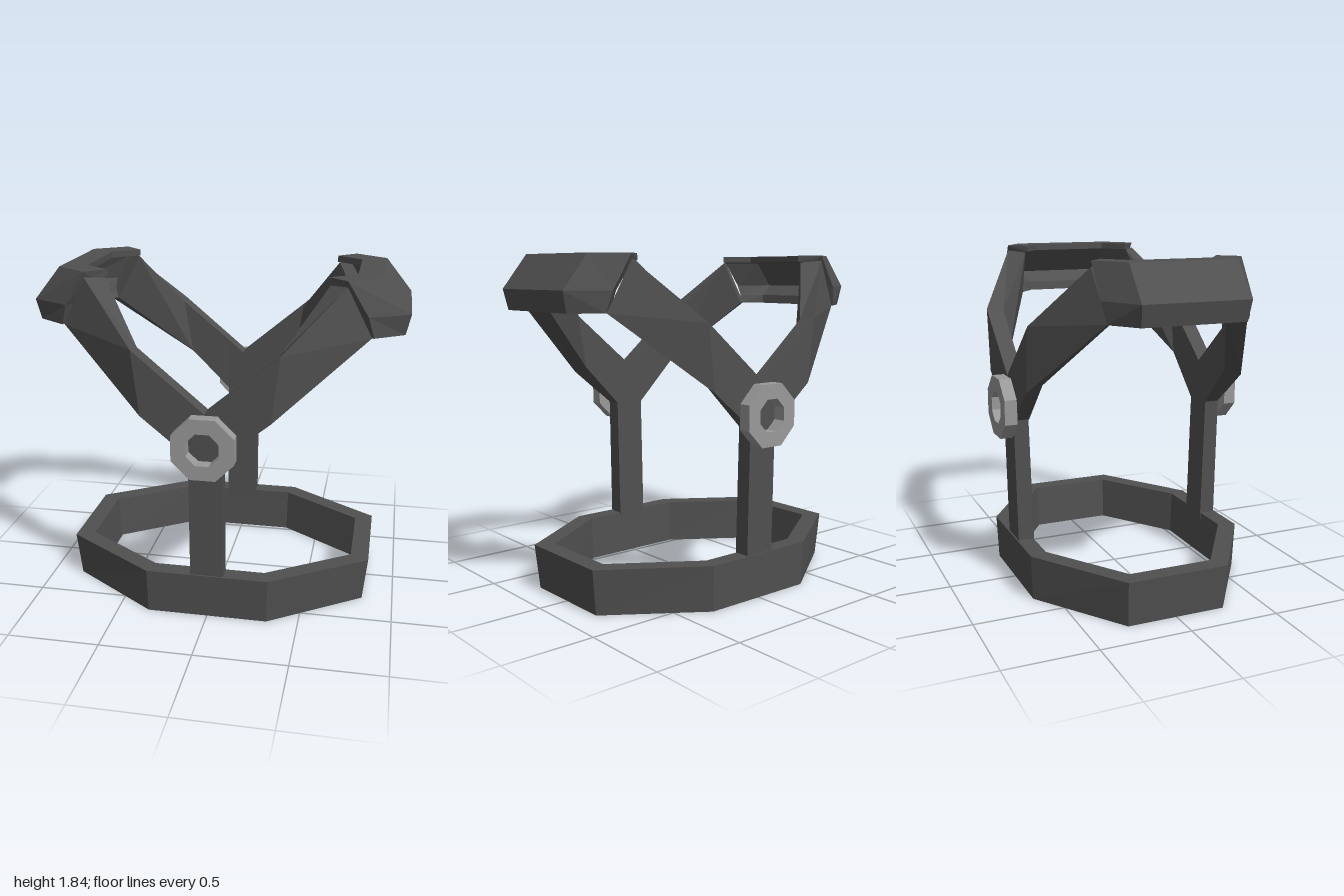
import * as THREE from 'three';

const dark = new THREE.MeshStandardMaterial({ color: 0x505050, flatShading: true });
const light = new THREE.MeshStandardMaterial({ color: 0x999999, flatShading: true });

// Skin a row of cross-sections (equal point counts); closed rows join end to start, open rows get end caps.
function loft(sections, closed, capFaces = []) {
  const n = sections[0].length, tris = [];
  const quad = (a, b, c, d) => tris.push([a, b, c], [a, c, d]);
  const steps = closed ? sections.length : sections.length - 1;
  for (let i = 0; i < steps; i++) {
    const s = sections[i], t = sections[(i + 1) % sections.length];
    for (let j = 0; j < n; j++) {
      const k = (j + 1) % n;
      quad(s[j], s[k], t[k], t[j]);
    }
  }
  if (!closed) {
    const first = sections[0], last = sections[sections.length - 1];
    for (const [a, b, c, d] of capFaces) {
      quad(first[d], first[c], first[b], first[a]);
      quad(last[a], last[b], last[c], last[d]);
    }
  }
  // Turn the faces outward, whichever way the sections run
  let volume = 0;
  for (const [a, b, c] of tris) {
    volume += new THREE.Vector3(...a).dot(new THREE.Vector3(...b).cross(new THREE.Vector3(...c)));
  }
  const flat = tris.flatMap(([a, b, c]) => (volume < 0 ? [c, b, a] : [a, b, c])).flat();
  const g = new THREE.BufferGeometry();
  g.setAttribute('position', new THREE.Float32BufferAttribute(flat, 3));
  g.computeVertexNormals();
  return g;
}

const mirror = (sections, sx, sz) => sections.map(s => s.map(([x, y, z]) => [x * sx, y, z * sz]));

function add(group, name, geometry, material = dark) {
  const mesh = new THREE.Mesh(geometry, material);
  mesh.name = name;
  group.add(mesh);
  return mesh;
}

// Base ring section at one corner: outer top, outer bottom, inner bottom, inner top
const ringEnd = [[0.855, 0.25, 0.285], [0.83, 0, 0.275], [0.735, 0, 0.23], [0.755, 0.25, 0.235]];
const ringSide = [[0.335, 0.25, 0.63], [0.33, 0, 0.62], [0.3, 0, 0.525], [0.305, 0.25, 0.535]];

// Arm sections from pivot to cradle: outer upper, outer lower, inner lower, inner upper
const armSections = [
  [[0, 1.18, 0.635], [0, 0.945, 0.635], [0, 0.945, 0.545], [0, 1.18, 0.545]],
  [[0.09, 1.256, 0.635], [0.09, 0.945, 0.635], [0.09, 0.945, 0.545], [0.09, 1.256, 0.545]],
  [[0.38, 1.5, 0.635], [0.34, 1.15, 0.635], [0.32, 1.18, 0.54], [0.37, 1.49, 0.54]],
  [[0.68, 1.81, 0.41], [0.81, 1.55, 0.38], [0.72, 1.55, 0.31], [0.59, 1.8, 0.33]],
];

// Channel-shaped cradle: outer top, hip, outer bottom, inner bottom, then up the hollow to the lip
const cradleTip = [
  [0.68, 1.84, 0.41], [0.79, 1.66, 0.405], [0.82, 1.55, 0.385], [0.72, 1.55, 0.31],
  [0.74, 1.6, 0.33], [0.74, 1.66, 0.36], [0.65, 1.8, 0.375], [0.58, 1.805, 0.32], [0.58, 1.84, 0.32],
];
const cradleCorner = [
  [0.855, 1.84, 0.29], [1, 1.66, 0.29], [0.975, 1.55, 0.28], [0.83, 1.55, 0.22],
  [0.84, 1.6, 0.225], [0.93, 1.66, 0.26], [0.82, 1.8, 0.26], [0.72, 1.805, 0.22], [0.72, 1.84, 0.22],
];
const cradleCaps = [[0, 1, 5, 6], [1, 2, 4, 5], [2, 3, 4, 4], [0, 6, 7, 8]];

// Octagonal hub ring with flat sides
function hubGeometry() {
  const octagon = apothem => Array.from({ length: 8 }, (_, i) => {
    const a = (i + 0.5) * Math.PI / 4, r = apothem / Math.cos(Math.PI / 8);
    return new THREE.Vector2(r * Math.cos(a), r * Math.sin(a));
  });
  const shape = new THREE.Shape(octagon(0.165));
  shape.holes.push(new THREE.Path(octagon(0.086)));
  const g = new THREE.ExtrudeGeometry(shape, { depth: 0.07, bevelEnabled: false });
  return g.translate(0, 0, -0.035);
}

export function createModel() {
  const model = new THREE.Group();
  model.name = 'cradleStand';

  // Base ring
  const [se, ss] = [ringEnd, ringSide];
  const corner = (s, sx, sz) => mirror([s], sx, sz)[0];
  add(model, 'baseRing', loft([
    corner(se, 1, 1), corner(ss, 1, 1), corner(ss, -1, 1), corner(se, -1, 1),
    corner(se, -1, -1), corner(ss, -1, -1), corner(ss, 1, -1), corner(se, 1, -1),
  ], true));

  // Posts and hubs, front and back
  for (const sz of [1, -1]) {
    const end = sz > 0 ? 'front' : 'back';
    const post = [[0.2, 0.53, 0.62], [1.0, 0.55, 0.634]].map(([y, zi, zo]) =>
      [[-0.09, y, zo], [0.09, y, zo], [0.09, y, zi], [-0.09, y, zi]]);
    add(model, end + 'Post', loft(mirror(post, 1, sz), false, [[0, 1, 2, 3]]));
    add(model, end + 'Hub', hubGeometry(), light).position.set(0, 1.01, 0.668 * sz);
  }

  // Two cradles, each held by a front and a back arm
  for (const sx of [1, -1]) {
    const side = sx > 0 ? 'left' : 'right';
    for (const sz of [1, -1]) {
      add(model, side + (sz > 0 ? 'Front' : 'Back') + 'Arm',
        loft(mirror(armSections, sx, sz), false, [[0, 1, 2, 3]]));
    }
    const cradle = [cradleTip, cradleCorner, corner(cradleCorner, 1, -1), corner(cradleTip, 1, -1)];
    add(model, side + 'Cradle', loft(mirror(cradle, sx, 1), false, cradleCaps));
  }
  return model;
}
